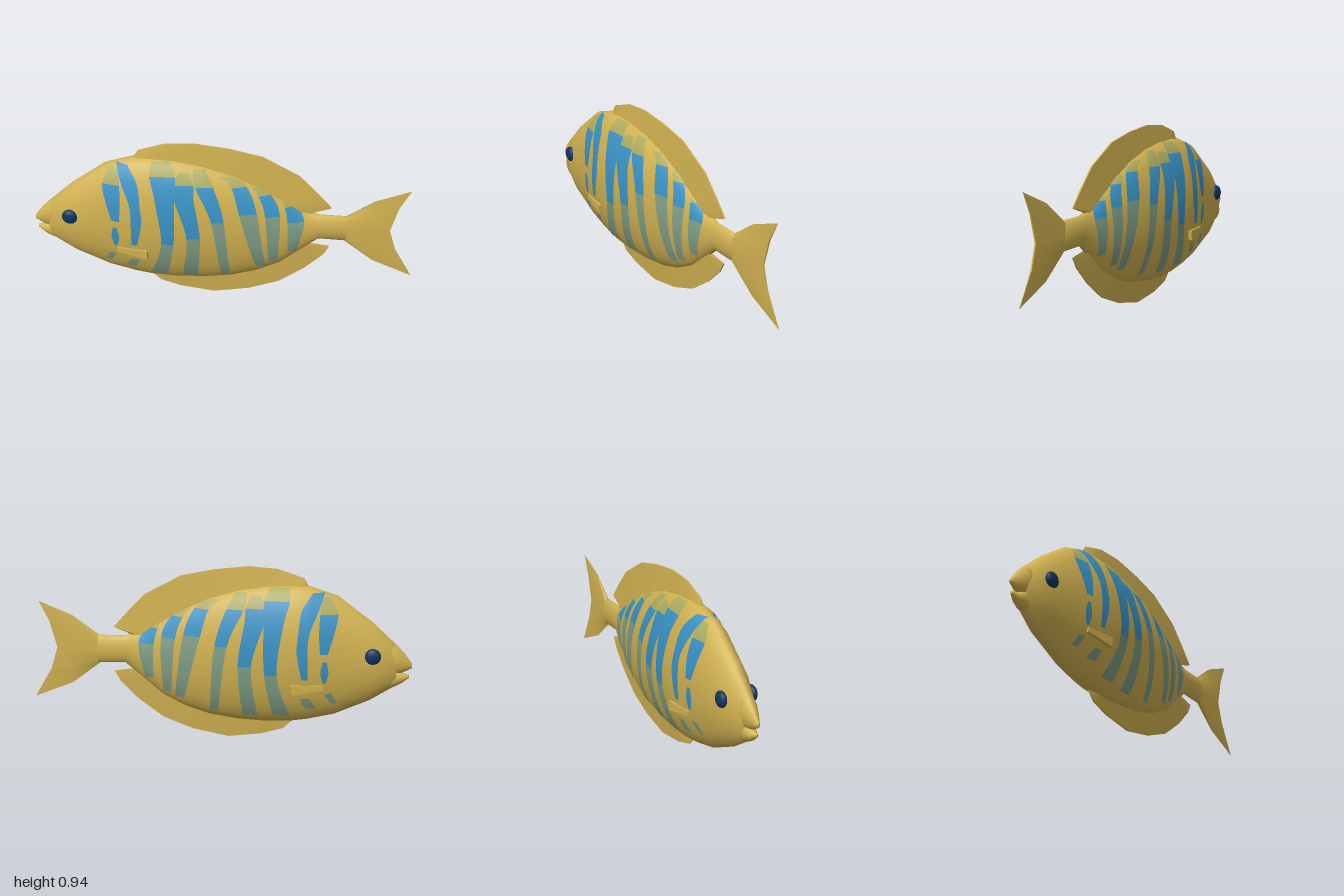
import * as THREE from 'three';
import { toCreasedNormals } from 'three/addons/utils/BufferGeometryUtils.js';

const mat = (name, color) => Object.assign(new THREE.MeshStandardMaterial({ color }), { name });

// Surface through a list of rows of [x, y, z] points
function grid(rows, closed = false) {
  const n = rows[0].length, idx = [];
  for (let i = 0; i < rows.length - 1; i++) {
    for (let j = 0; j < (closed ? n : n - 1); j++) {
      const a = i * n + j, b = a + n, c = i * n + (j + 1) % n, d = c + n;
      idx.push(a, b, d, a, d, c);
    }
  }
  const g = new THREE.BufferGeometry();
  g.setAttribute('position', new THREE.Float32BufferAttribute(rows.flat(2), 3));
  g.setIndex(idx);
  g.computeVertexNormals();
  return g;
}

// Body sections: x, top, bottom, half width
const BODY = [
  [-0.92, 0.545, 0.325, 0.042], [-0.79, 0.665, 0.24, 0.088], [-0.61, 0.8, 0.155, 0.11],
  [-0.47, 0.845, 0.12, 0.133], [-0.38, 0.85, 0.105, 0.14], [-0.25, 0.845, 0.098, 0.136],
  [-0.1, 0.82, 0.104, 0.127], [0.05, 0.775, 0.125, 0.11], [0.18, 0.715, 0.165, 0.09],
  [0.3, 0.645, 0.225, 0.068], [0.4, 0.575, 0.31, 0.048], [0.5, 0.545, 0.395, 0.032],
  [0.645, 0.543, 0.39, 0.029],
];
const UPPER_JAW = [[-1, 0.45, 0.425, 0.008], [-0.96, 0.503, 0.402, 0.027],
  [-0.92, 0.545, 0.385, 0.043], [-0.86, 0.59, 0.37, 0.05]];
const LOWER_JAW = [[-0.988, 0.39, 0.371, 0.008], [-0.955, 0.395, 0.343, 0.024],
  [-0.92, 0.42, 0.322, 0.036], [-0.86, 0.42, 0.3, 0.036]];
const POINTED = 1.15;

// Closed lens-shaped loft
function loft(sections, seg = 36) {
  const tip = ([x, t, b]) => [x, (t + b) / 2, (t + b) / 2, 0];
  return grid([tip(sections[0]), ...sections, tip(sections.at(-1))].map(([x, t, b, w]) =>
    Array.from({ length: seg }, (_, j) => {
      const a = j / seg * Math.PI * 2, c = Math.cos(a);
      return [x, (t + b) / 2 + (t - b) / 2 * Math.sin(a), w * Math.sign(c) * Math.abs(c) ** POINTED];
    })), true);
}

// Half width of the body at a point of its side
function sideZ(x, y) {
  let i = 0;
  while (i < BODY.length - 2 && x > BODY[i + 1][0]) i++;
  const p = BODY[i], q = BODY[i + 1], k = (x - p[0]) / (q[0] - p[0]);
  const [, t, b, w] = p.map((v, n) => v + (q[n] - v) * k);
  const s = (2 * y - t - b) / (t - b);
  return w * Math.max(0, 1 - s * s) ** (POINTED / 2);
}

// One span of a stripe, as a thin painted patch that follows the body
function patch(curve, from, to, side, lift) {
  const steps = 10, cols = 6;
  return grid(Array.from({ length: steps + 1 }, (_, r) => {
    const mid = curve.getPoint(from + (to - from) * r / steps);
    const line = Array.from({ length: cols + 1 }, (_, c) => {
      const x = mid.x + mid.z * (c / cols - 0.5);
      return [x, mid.y, side * (sideZ(x, mid.y) + lift)];
    });
    return side > 0 ? line : line.reverse();
  }));
}

// Fin between matching curves, with a half thickness for each curve
function fin(curves, thick) {
  const last = curves[0].length - 1;
  const rows = curves[0].map((_, i) => {
    const end = i === 0 || i === last ? 0.1 : 1;
    const face = curves.map((c, k) => [...c[i], thick[k] * end]);
    return [...face, ...face.map(([x, y, z]) => [x, y, -z]).reverse()];
  });
  return toCreasedNormals(grid(rows, true), 0.7);
}

// Stripes: a colour letter per span, then knots from top to bottom as x, y, width
const STRIPES = [
  ['obb', [-0.555, 0.8, 0.05], [-0.57, 0.72, 0.09], [-0.56, 0.62, 0.075], [-0.55, 0.52, 0.04]],
  ['bb', [-0.555, 0.48, 0.02], [-0.555, 0.42, 0.04], [-0.555, 0.36, 0.015]],
  ['g', [-0.575, 0.3, 0.04], [-0.605, 0.24, 0.035]],
  ['bbbb', [-0.515, 0.82, 0.06], [-0.475, 0.74, 0.085], [-0.445, 0.62, 0.055],
    [-0.44, 0.52, 0.055], [-0.455, 0.38, 0.03]],
  ['g', [-0.455, 0.27, 0.05], [-0.485, 0.21, 0.06]],
  ['obbg', [-0.315, 0.84, 0.1], [-0.305, 0.78, 0.13], [-0.29, 0.66, 0.1],
    [-0.28, 0.4, 0.065], [-0.335, 0.16, 0.09]],
  ['obbg', [-0.195, 0.8, 0.05], [-0.2, 0.74, 0.11], [-0.19, 0.66, 0.1],
    [-0.145, 0.44, 0.07], [-0.17, 0.15, 0.08]],
  ['obg', [-0.12, 0.81, 0.06], [-0.09, 0.73, 0.09], [-0.02, 0.54, 0.065], [0.02, 0.17, 0.045]],
  ['obg', [0.015, 0.77, 0.05], [0.085, 0.72, 0.075], [0.135, 0.58, 0.09], [0.205, 0.23, 0.05]],
  ['obg', [0.165, 0.71, 0.03], [0.215, 0.67, 0.06], [0.26, 0.56, 0.075], [0.27, 0.26, 0.045]],
  ['obg', [0.32, 0.625, 0.02], [0.345, 0.6, 0.05], [0.38, 0.52, 0.085], [0.367, 0.33, 0.045]],
];

export function createModel() {
  const fish = new THREE.Group();
  fish.name = 'fish';
  const yellow = mat('skin yellow', 0xd0b150);
  const navy = mat('eye navy', 0x10345c);
  const paint = {
    o: mat('upper stripe olive', 0xaaa95f),
    b: mat('stripe blue', 0x3891c3),
    g: mat('faded stripe grey green', 0x7f9d86),
  };
  yellow.side = THREE.DoubleSide;
  const add = (name, geo, material) => {
    const mesh = new THREE.Mesh(geo, material);
    mesh.name = name;
    fish.add(mesh);
    return mesh;
  };

  add('body', loft(BODY), yellow);
  add('upperJaw', loft(UPPER_JAW), yellow);
  add('lowerJaw', loft(LOWER_JAW), yellow);

  // Back fin
  add('dorsalFin', fin([
    [[-0.47, 0.8], [-0.45, 0.8], [-0.35, 0.8], [-0.2, 0.79], [-0.05, 0.76], [0.08, 0.71],
      [0.2, 0.65], [0.28, 0.6], [0.34, 0.56], [0.38, 0.54], [0.42, 0.52]],
    [[-0.46, 0.845], [-0.435, 0.885], [-0.3, 0.93], [-0.15, 0.94], [0.03, 0.918], [0.2, 0.88],
      [0.39, 0.775], [0.49, 0.67], [0.56, 0.59], [0.49, 0.565], [0.43, 0.555]],
  ], [0.022, 0.004]), yellow);

  // Belly fin
  add('analFin', fin([
    [[0.42, 0.37], [0.38, 0.37], [0.36, 0.36], [0.33, 0.33], [0.25, 0.28], [0.16, 0.22],
      [0.05, 0.18], [-0.1, 0.15], [-0.23, 0.14], [-0.31, 0.14], [-0.36, 0.14]],
    [[0.42, 0.335], [0.49, 0.328], [0.56, 0.345], [0.53, 0.29], [0.435, 0.195], [0.3, 0.095],
      [0.14, 0.035], [-0.05, 0], [-0.23, 0.025], [-0.34, 0.06], [-0.39, 0.105]],
  ], [0.018, 0.004]), yellow);

  // Forked tail
  add('tailFin', fin([
    [[0.63, 0.535], [0.62, 0.51], [0.62, 0.465], [0.62, 0.42], [0.63, 0.395]],
    [[0.78, 0.645], [0.77, 0.56], [0.75, 0.465], [0.76, 0.365], [0.79, 0.27]],
    [[0.96, 0.718], [0.905, 0.61], [0.868, 0.465], [0.905, 0.345], [1, 0.182]],
  ], [0.018, 0.012, 0.004]), yellow);

  for (const side of [1, -1]) {
    const label = side > 0 ? 'front' : 'back';

    // Stripes fade from olive through blue to grey green
    STRIPES.forEach(([colours, ...knots], i) => {
      const curve = new THREE.CatmullRomCurve3(
        knots.map((k) => new THREE.Vector3(...k)), false, 'catmullrom');
      const n = colours.length;
      [...colours].forEach((letter, s) => add(`${label}Stripe${i + 1}`,
        patch(curve, s / n, (s + 1) / n, side, 0.004 + (i % 2) * 0.001), paint[letter]));
    });

    // Side fin, wider toward its free end
    const slab = new THREE.BoxGeometry(0.165, 0.05, 0.02);
    const p = slab.attributes.position;
    for (let i = 0; i < p.count; i++) if (p.getX(i) < 0) p.setY(i, p.getY(i) * 0.5);
    const pectoral = add(`${label}PectoralFin`, slab, yellow);
    pectoral.position.set(-0.468, 0.33, side * 0.122);
    pectoral.rotation.set(0, -side * 0.16, -0.08);

    // Eye
    const eye = add(`${label}Eye`, new THREE.SphereGeometry(0.042, 20, 14), navy);
    eye.position.set(-0.797, 0.505, side * 0.082);
    eye.scale.z = 0.55;
  }
  return fish;
}
